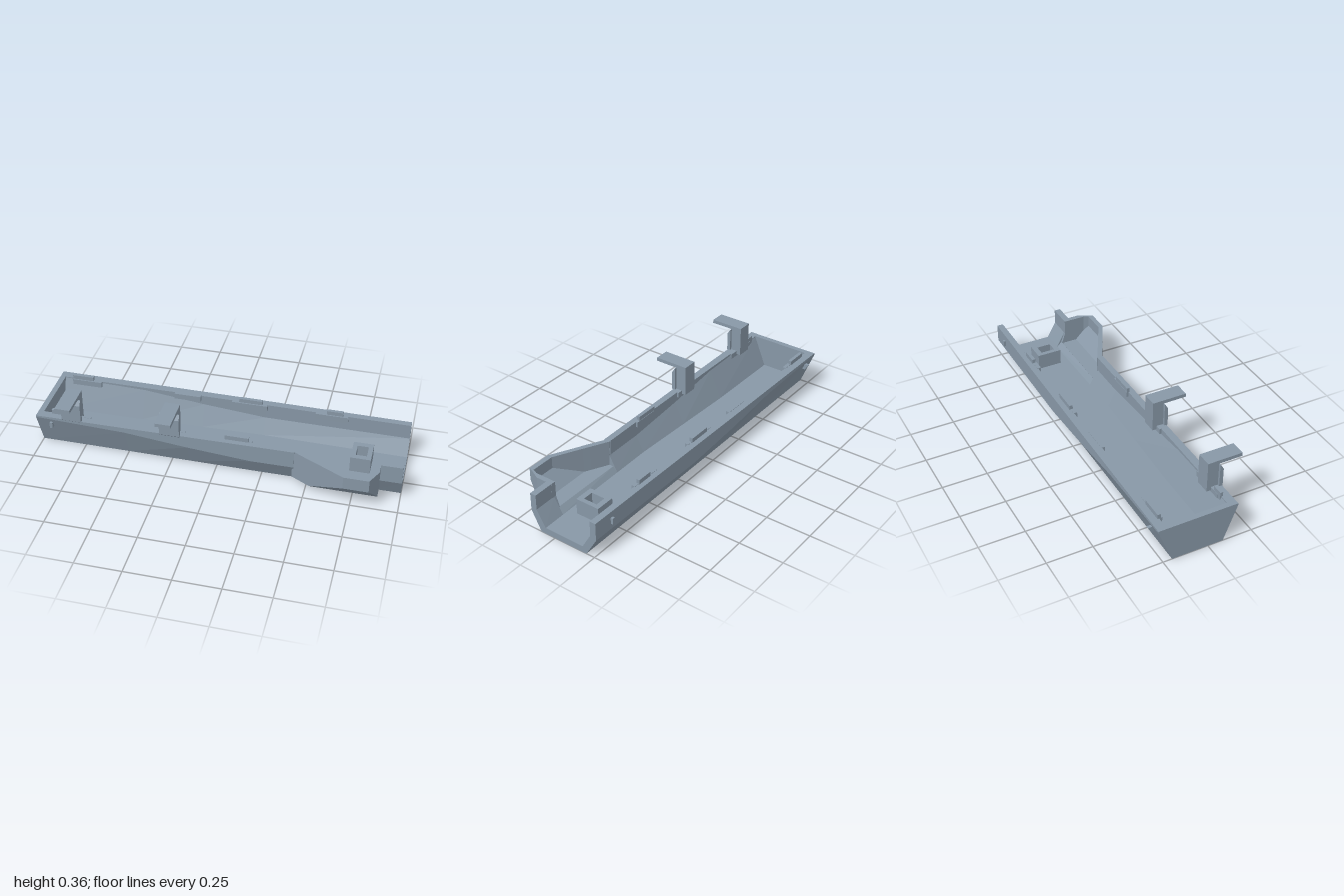
import * as THREE from 'three';

const steel = new THREE.MeshStandardMaterial({ color: 0x8797a6 });
steel.name = 'blue grey';

// Joins [z, y] outlines placed along x into a closed, flat-shaded solid
function loft(sections) {
  const pos = [];
  const rings = sections.map(([x, pts]) => {
    const v = pts.map(([z, y]) => new THREE.Vector2(z, y));
    if (THREE.ShapeUtils.area(v) < 0) v.reverse();
    return { x, v };
  });
  const put = (r, i) => pos.push(r.x, r.v[i].y, r.v[i].x);
  for (let s = 0; s < rings.length - 1; s++) {
    const a = rings[s], b = rings[s + 1], n = a.v.length;
    for (let i = 0; i < n; i++) {
      const j = (i + 1) % n;
      put(a, i); put(b, i); put(b, j);
      put(a, i); put(b, j); put(a, j);
    }
  }
  [rings[0], rings[rings.length - 1]].forEach((r, end) => {
    for (const t of THREE.ShapeUtils.triangulateShape(r.v, [])) {
      const ccw = THREE.ShapeUtils.area(t.map((i) => r.v[i])) > 0;
      const order = ccw === (end === 0) ? t : [t[0], t[2], t[1]];
      order.forEach((i) => put(r, i));
    }
  });
  const g = new THREE.BufferGeometry();
  g.setAttribute('position', new THREE.Float32BufferAttribute(pos, 3));
  g.computeVertexNormals();
  return g;
}

// Hull stations: x, rim front/back, knee height, base front/back, floor front/back, inner rim front/back
const stations = [
  [-1, 0.16, -0.28, 0.2, 0.085, -0.2, 0.04, -0.165, 0.112, -0.232],
  [-0.5, 0.157, -0.277, 0.18, 0.086, -0.2, 0.042, -0.17, 0.115, -0.232],
  [-0.15, 0.153, -0.275, 0.14, 0.088, -0.2, 0.055, -0.18, 0.115, -0.232],
  [0.2, 0.15, -0.272, 0.11, 0.09, -0.2, 0.068, -0.188, 0.115, -0.232],
  [1, 0.145, -0.265, 0.11, 0.088, -0.2, 0.058, -0.178, 0.11, -0.23],
];
function at(x) {
  let i = 0;
  while (i < stations.length - 2 && x > stations[i + 1][0]) i++;
  const a = stations[i], b = stations[i + 1], t = (x - a[0]) / (b[0] - a[0]);
  const [, rf, rb, knee, bf, bb, ff, fb, inF, inB] = a.map((v, k) => v + (b[k] - v) * t);
  return { rf, rb, knee, bf, bb, ff, fb, inF, inB };
}

const TOP = 0.21, FLOOR = 0.035;
const sweep = (xs, outline) => loft(xs.map((x) => [x, outline(at(x), x)]));

const endOutline = (s) => [[s.bf, 0], [s.bb, 0], [s.rb, s.knee], [s.rb, TOP], [s.rf, TOP], [s.rf, s.knee]];
const floorAndBack = (s) => [
  [s.bf, 0], [s.bb, 0], [s.rb, s.knee], [s.rb, TOP], [s.inB, TOP],
  [s.inB, Math.min(s.knee + 0.015, 0.205)], [s.fb, FLOOR], [s.ff, FLOOR],
];
const frontWall = (s) => [
  [s.bf, 0], [s.rf, s.knee], [s.rf, TOP], [s.inF, TOP],
  [s.inF, Math.min(s.knee + 0.015, 0.205)], [s.ff, FLOOR],
];
const sill = (s) => [[s.bf, 0], [0.11, 0.04], [0.09, 0.066], [s.ff, FLOOR]];

// Bulge outline: vertical side with a 45 degree chamfer down to a flat floor
const bulgeSide = (z) => [[0.1, 0.04], [Math.min(z, 0.195), 0.04], [z, Math.max(0.04, z - 0.152)], [z, TOP]];
const bulgeShell = ([x, out, inn]) => [x, [
  ...bulgeSide(out), [inn, TOP], [inn, Math.max(0.064, inn - 0.118)],
  [Math.min(inn, 0.182), 0.064], [0.088, 0.064],
]];

export function createModel() {
  const model = new THREE.Group();
  const add = (name, geometry, parent = model) => {
    const m = new THREE.Mesh(geometry, steel);
    m.name = name;
    parent.add(m);
    return m;
  };
  // Box given by its limits
  const block = (name, [x0, x1], [y0, y1], [z0, z1], parent) => {
    const m = add(name, new THREE.BoxGeometry(x1 - x0, y1 - y0, z1 - z0), parent);
    m.position.set((x0 + x1) / 2, (y0 + y1) / 2, (z0 + z1) / 2);
    return m;
  };

  // Trough
  add('endWall', sweep([-1, -0.97], endOutline));
  add('floorAndBackWall', sweep([-0.97, -0.5, -0.15, 0.2, 1], floorAndBack));
  add('frontWall', sweep([-0.97, -0.5, -0.15, 0.2, 0.43], frontWall));
  add('frontSill', sweep([0.43, 0.87], sill));
  add('frontWallEnd', sweep([0.87, 1], frontWall));

  // Side bulge, open to the inside
  add('bulgeShell', loft([
    [0.42, 0.138, 0.11], [0.525, 0.195, 0.165], [0.557, 0.21, 0.182],
    [0.71, 0.29, 0.262], [0.845, 0.29, 0.262], [0.862, 0.25, 0.222],
  ].map(bulgeShell)));
  add('bulgeEndWall', loft([[0.857, 0.262], [0.885, 0.205]].map(([x, z]) => [
    x, [...bulgeSide(z), [0.11, TOP], [0.11, 0.125], [0.088, 0.064]],
  ])));

  // Two hooked brackets on the front rim
  for (const x of [-0.795, -0.245]) {
    const bracket = new THREE.Group();
    bracket.name = 'bracket';
    model.add(bracket);
    block('bracketPost', [x - 0.042, x + 0.042], [0.19, 0.345], [0.08, 0.146], bracket);
    const face = [[0.143, 0.19], [0.163, 0.21], [0.163, 0.315], [0.146, 0.343], [0.143, 0.343]];
    add('bracketFace', loft([[x - 0.055, face], [x + 0.055, face]]), bracket);
    block('bracketTop', [x - 0.042, x + 0.042], [0.344, 0.364], [0.08, 0.275], bracket);
  }

  // Clips and pads along the inside of the rims
  for (const [a, b] of [[-0.92, -0.8], [0.05, 0.18], [0.54, 0.63]])
    block('backClip', [a, b], [0.18, 0.235], [-0.241, -0.222]);
  for (const [a, b] of [[-0.92, -0.75], [-0.32, -0.17], [0.01, 0.21], [0.48, 0.66]])
    block('backPad', [a, b], [0.18, 0.212], [-0.236, -0.215]);
  for (const [a, b] of [[-0.92, -0.86], [0.05, 0.18]])
    block('frontClip', [a, b], [0.18, 0.235], [0.106, 0.122]);
  for (const [a, b] of [[-0.9, -0.7], [-0.32, -0.17], [0.05, 0.2]])
    block('frontPad', [a, b], [0.18, 0.211], [0.104, 0.118]);

  // Small pegs on the outside walls
  block('frontPeg', [-0.923, -0.907], [0.142, 0.176], [0.13, 0.165]);
  const wedge = [[-0.24, 0.142], [-0.275, 0.142], [-0.294, 0.176], [-0.24, 0.176]];
  add('backWedgePeg', loft([[-0.923, wedge], [-0.907, wedge]]));
  block('backPeg', [0.872, 0.888], [0.142, 0.176], [-0.279, -0.24]);

  // Hollow socket on the floor with a small block inside
  const frame = new THREE.Shape([[0.71, -0.01], [0.82, -0.01], [0.82, 0.13], [0.71, 0.13]]
    .map(([x, y]) => new THREE.Vector2(x, y)));
  frame.holes.push(new THREE.Path([[0.735, 0.02], [0.735, 0.1], [0.795, 0.1], [0.795, 0.02]]
    .map(([x, y]) => new THREE.Vector2(x, y))));
  const socket = add('floorSocket', new THREE.ExtrudeGeometry(frame, { depth: 0.092, bevelEnabled: false }));
  socket.rotation.x = -Math.PI / 2;
  socket.position.y = 0.033;
  block('socketCore', [0.75, 0.78], [0.033, 0.06], [-0.095, -0.03]);

  return model;
}
